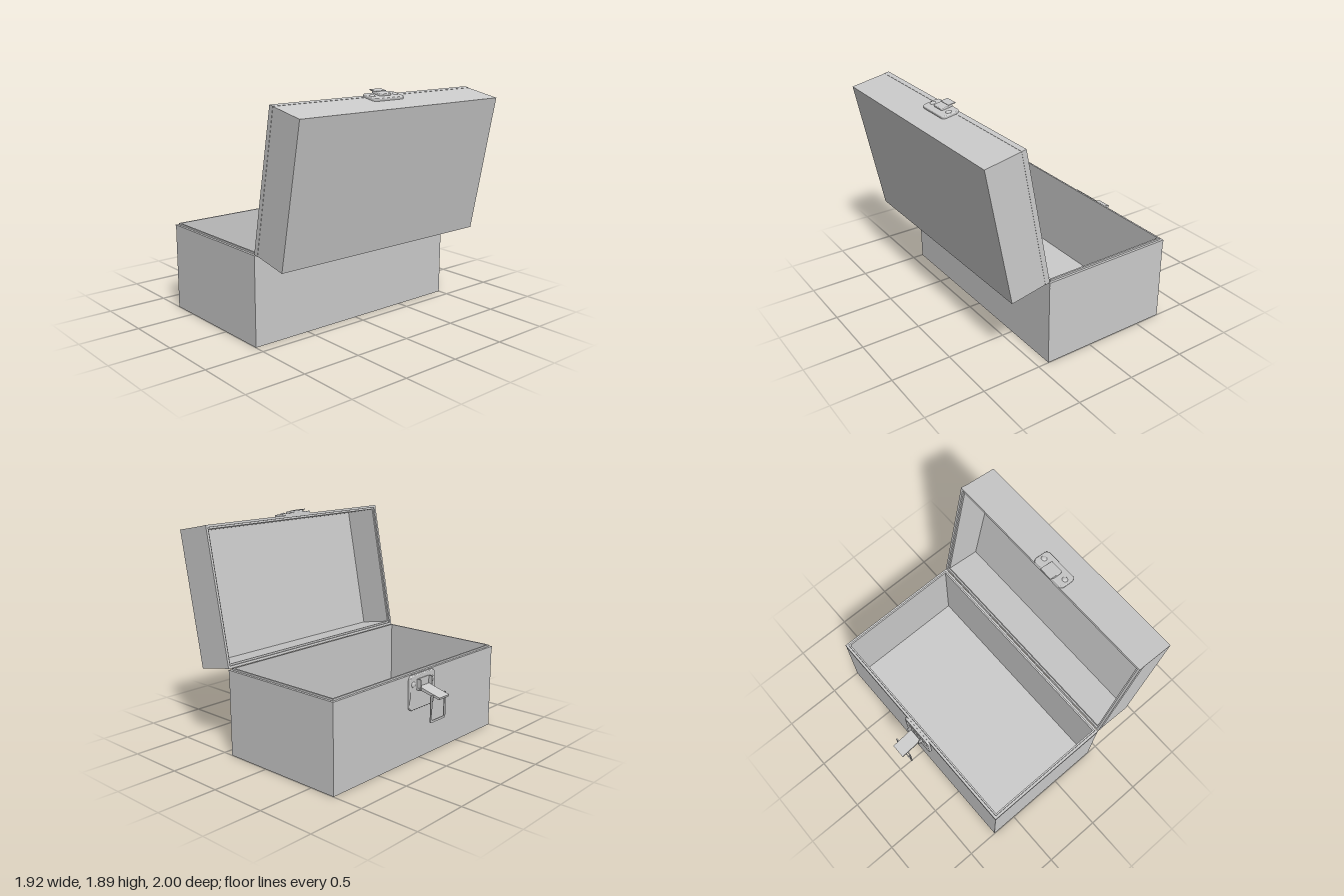
import * as THREE from 'three';

const grey = new THREE.MeshStandardMaterial({ color: 0xcccccc, side: THREE.DoubleSide });

function add(parent, name, geometry, x = 0, y = 0, z = 0) {
  const mesh = new THREE.Mesh(geometry, grey);
  mesh.name = name;
  mesh.position.set(x, y, z);
  parent.add(mesh);
  return mesh;
}

function addGroup(parent, name, x = 0, y = 0, z = 0) {
  const g = new THREE.Group();
  g.name = name;
  g.position.set(x, y, z);
  parent.add(g);
  return g;
}

const box = (w, h, d) => new THREE.BoxGeometry(w, h, d);

// Rectangle centred on the origin with rounded corners
function roundRect(w, h, r, Type = THREE.Shape) {
  const s = new Type();
  const x = w / 2, y = h / 2;
  if (r === 0) {
    return s.moveTo(-x, -y).lineTo(x, -y).lineTo(x, y).lineTo(-x, y).closePath();
  }
  s.absarc(x - r, y - r, r, 0, Math.PI / 2);
  s.absarc(-x + r, y - r, r, Math.PI / 2, Math.PI);
  s.absarc(-x + r, -y + r, r, Math.PI, Math.PI * 1.5);
  s.absarc(x - r, -y + r, r, Math.PI * 1.5, Math.PI * 2);
  s.closePath();
  return s;
}

// Upright rectangular wall of thickness t, standing from y0 to y1
function wall(w, d, t, y0, y1) {
  const s = roundRect(w, d, 0);
  s.holes.push(roundRect(w - 2 * t, d - 2 * t, 0, THREE.Path));
  return new THREE.ExtrudeGeometry(s, { depth: y1 - y0, bevelEnabled: false })
    .rotateX(-Math.PI / 2).translate(0, y0, 0);
}

// Open tray: floor, outer wall, inner liner (raised or sunk) and rim band
function tray(parent, name, w, d, h, linerTop) {
  const g = addGroup(parent, name);
  add(g, 'floor', box(w - 0.006, 0.018, d - 0.006), 0, 0.009, 0);
  add(g, 'outerWall', wall(w - 0.004, d - 0.004, 0.018, 0, h));
  add(g, 'innerLiner', wall(w - 0.04, d - 0.04, 0.014, 0.018, linerTop));
  add(g, 'rimBand', wall(w, d, 0.003, h - 0.04, h));
  return g;
}

// Rounded plate with softened edges, from z = 0 to z = t
function plate(w, h, r, t) {
  const b = t * 0.35;
  return new THREE.ExtrudeGeometry(roundRect(w - 2 * b, h - 2 * b, r), {
    depth: t - b, bevelSize: b, bevelThickness: b, bevelSegments: 3, curveSegments: 6,
  });
}

function rivet(parent, x, y, z) {
  const dome = new THREE.SphereGeometry(0.024, 16, 6, 0, Math.PI * 2, 0, Math.PI / 2)
    .rotateX(Math.PI / 2).scale(1, 1, 0.5);
  add(parent, 'rivet', dome, x, y, z);
}

const axes = (...v) => new THREE.Matrix4().makeBasis(...v.map((a) => new THREE.Vector3(...a)));

export function createModel() {
  const model = new THREE.Group();
  model.name = 'storageBox';

  const base = tray(model, 'base', 1.14, 2, 0.722, 0.737);
  base.position.x = -0.16;

  // Lid group pivots on the hinge edge: y runs up the lid, x through its depth
  const lid = addGroup(model, 'lid', 0.41, 0.73, 0);
  lid.rotation.z = -0.19;
  const shell = tray(lid, 'lidShell', 1.14, 2, 0.34, 0.325);
  shell.rotation.z = Math.PI / 2;
  shell.position.set(0.34, 0.57, 0);

  // Hinges with alternating knuckles and two leaves
  for (const z of [-0.54, 0.54]) {
    const hinge = addGroup(model, 'hinge', 0.425, 0.708, z);
    for (let i = 0; i < 5; i++) {
      add(hinge, 'knuckle', new THREE.CylinderGeometry(0.017, 0.017, 0.052, 16).rotateX(Math.PI / 2),
        0, 0, (i - 2) * 0.056);
    }
    add(hinge, 'pin', new THREE.CylinderGeometry(0.009, 0.009, 0.285, 12).rotateX(Math.PI / 2));
    add(hinge, 'baseLeaf', box(0.006, 0.05, 0.276), -0.013, -0.015, 0);
    add(hinge, 'lidLeaf', box(0.05, 0.006, 0.276), 0.015, 0.012, 0).rotation.z = -0.19;
  }

  // Catch on the free edge of the lid
  const lidCatch = addGroup(lid, 'lidCatch', 0.075, 1.139, 0);
  lidCatch.quaternion.setFromRotationMatrix(axes([0, 0, 1], [1, 0, 0], [0, 1, 0]));
  add(lidCatch, 'catchPlate', plate(0.315, 0.15, 0.025, 0.02));
  for (const s of [-1, 1]) rivet(lidCatch, s * 0.116, 0, 0.018);
  add(lidCatch, 'catchBlock', plate(0.12, 0.1, 0.008, 0.018), 0, -0.025, 0.018);
  add(lidCatch, 'catchLip', box(0.115, 0.06, 0.007), 0, -0.07, 0.036);

  // Latch plate, bracket and rivets on the front of the base
  const latch = addGroup(model, 'latch', -0.73, 0.573, 0);
  latch.quaternion.setFromRotationMatrix(axes([0, 0, 1], [0, 1, 0], [-1, 0, 0]));
  add(latch, 'latchPlate', plate(0.315, 0.285, 0.025, 0.02));
  for (const s of [-1, 1]) {
    rivet(latch, s * 0.118, 0.07, 0.018);
    add(latch, 'bracketCheek', box(0.008, 0.09, 0.042), s * 0.072, 0.062, 0.038);
  }
  add(latch, 'bracketBack', box(0.15, 0.09, 0.008), 0, 0.062, 0.022);
  add(latch, 'pivotPin', new THREE.CylinderGeometry(0.009, 0.009, 0.165, 12).rotateZ(Math.PI / 2),
    0, 0.03, 0.045);

  // Lever reaching outward, thicker at the pivot
  const profile = new THREE.Shape();
  profile.moveTo(-0.015, -0.012).lineTo(0.1, -0.012).lineTo(0.19, -0.01)
    .lineTo(0.19, 0.008).lineTo(0.1, 0.01).lineTo(-0.015, 0.014).closePath();
  const leverGeo = new THREE.ExtrudeGeometry(profile, { depth: 0.125, bevelEnabled: false })
    .translate(0, 0, -0.0625);
  const lever = add(model, 'lever', leverGeo, -0.775, 0.603, 0);
  lever.rotation.set(0, Math.PI, -0.22, 'YXZ');

  // Rectangular loop hanging from the lever
  const ring = roundRect(0.19, 0.22, 0.01);
  ring.holes.push(roundRect(0.155, 0.185, 0.006, THREE.Path));
  const loop = new THREE.ExtrudeGeometry(ring, { depth: 0.009, bevelEnabled: false, curveSegments: 4 })
    .translate(0, 0, -0.0045).rotateY(Math.PI / 2);
  add(model, 'latchLoop', loop, -0.902, 0.468, 0);

  return model;
}
